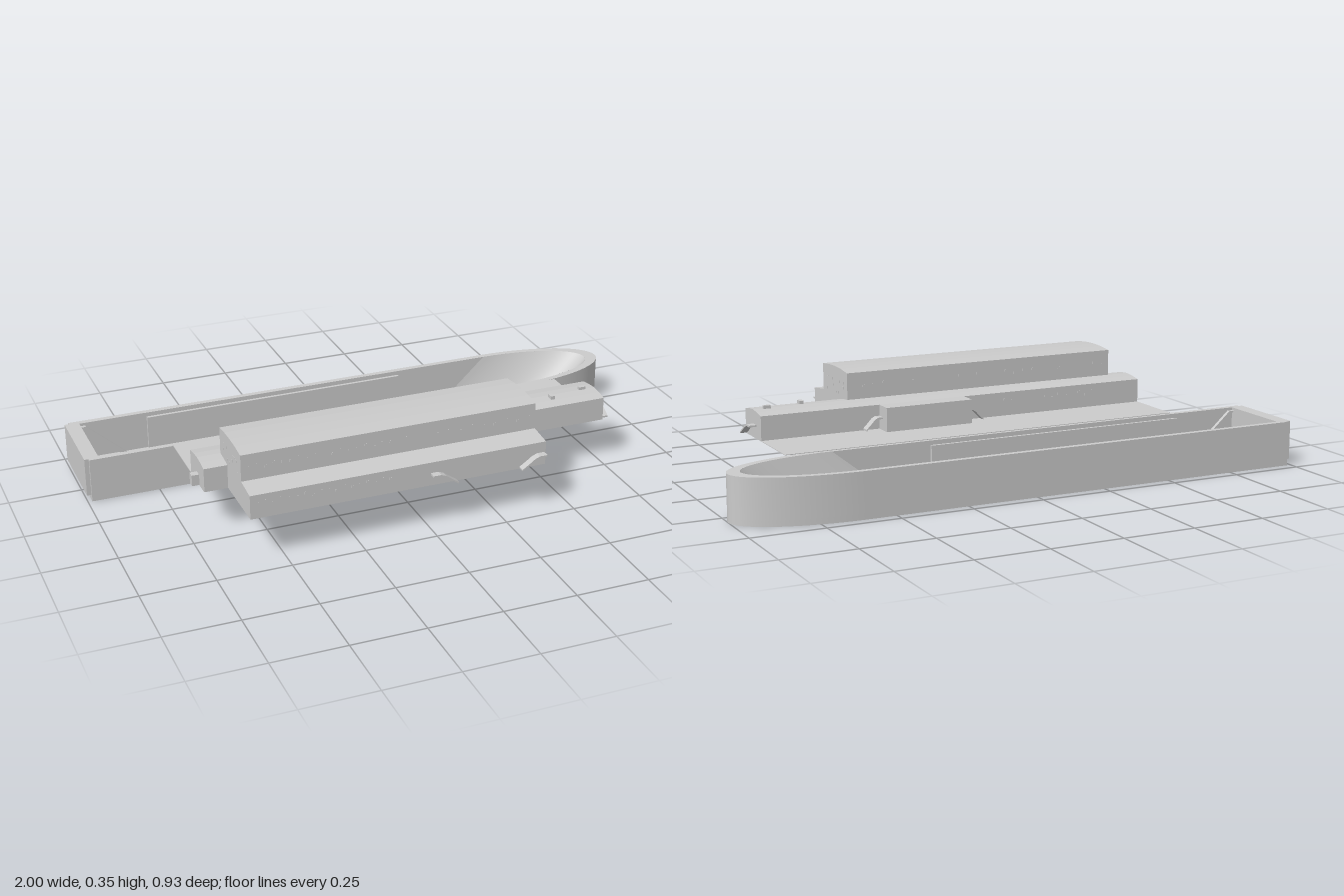
import * as THREE from 'three';
import { toCreasedNormals } from 'three/addons/utils/BufferGeometryUtils.js';

const grey = new THREE.MeshStandardMaterial({ color: 0xcccccc, side: THREE.DoubleSide });
const HULL_Z = -0.31, RIM = 0.155, FLOOR = 0.02, BASE = 0.157;

function add(parent, name, geometry) {
  const mesh = new THREE.Mesh(geometry, grey);
  mesh.name = name;
  parent.add(mesh);
  return mesh;
}

// box given by its two extreme corners
function box(parent, name, x0, x1, y0, y1, z0, z1) {
  const mesh = add(parent, name, new THREE.BoxGeometry(x1 - x0, y1 - y0, z1 - z0));
  mesh.position.set((x0 + x1) / 2, (y0 + y1) / 2, (z0 + z1) / 2);
  return mesh;
}

// [z, y] profile swept along x
function sweepX(parent, name, profile, x0, x1) {
  const shape = new THREE.Shape(profile.map(([z, y]) => new THREE.Vector2(-z, y)));
  const g = new THREE.ExtrudeGeometry(shape, { depth: x1 - x0, bevelEnabled: false });
  g.rotateY(Math.PI / 2).translate(x0, 0, 0);
  return add(parent, name, g);
}

// plan outline: square stern, half-elliptical bow
function plan(Type, stern, start, tip, half) {
  const s = new Type();
  s.moveTo(stern, -half);
  s.lineTo(start, -half);
  s.absellipse(start, 0, tip - start, half, -Math.PI / 2, Math.PI / 2, false, 0);
  s.lineTo(stern, half);
  s.closePath();
  return s;
}

function rectHole(x0, x1, half) {
  return new THREE.Path([[x0, -half], [x0, half], [x1, half], [x1, -half]]
    .map(([x, y]) => new THREE.Vector2(x, y)));
}

function slab(parent, name, shape, y0, y1) {
  let g = new THREE.ExtrudeGeometry(shape, { depth: y1 - y0, bevelEnabled: false, curveSegments: 40 });
  g.rotateX(-Math.PI / 2).translate(0, y0, HULL_Z);
  return add(parent, name, toCreasedNormals(g, 0.5));
}

// sloping inner bow surface between the rim ellipse and the floor ellipse
function bowLining() {
  const n = 40, pos = [], index = [];
  for (let i = 0; i <= n; i++) {
    const a = -Math.PI / 2 + Math.PI * i / n, c = Math.cos(a), s = Math.sin(a);
    pos.push(0.6 + 0.355 * c, RIM, HULL_Z + 0.135 * s);
    pos.push(0.43 + 0.39 * c, FLOOR, HULL_Z + 0.11 * s);
    if (i < n) {
      const k = i * 2;
      index.push(k, k + 1, k + 2, k + 1, k + 3, k + 2);
    }
  }
  const g = new THREE.BufferGeometry();
  g.setAttribute('position', new THREE.Float32BufferAttribute(pos, 3));
  g.setIndex(index);
  g.computeVertexNormals();
  return g;
}

function buildHull(root) {
  const hull = new THREE.Group();
  hull.name = 'hull';
  root.add(hull);

  const wall = plan(THREE.Shape, -0.985, 0.6, 1, 0.155);
  wall.holes.push(plan(THREE.Path, -0.95, 0.6, 0.955, 0.135));
  slab(hull, 'hullWall', wall, FLOOR, RIM);

  const floor = plan(THREE.Shape, -0.985, 0.6, 1, 0.155);
  floor.holes.push(rectHole(-0.945, -0.71, 0.075), rectHole(0.175, 0.255, 0.038));
  slab(hull, 'hullFloor', floor, 0, FLOOR);

  add(hull, 'bowLining', bowLining());
  box(hull, 'transom', -1, -0.984, 0.02, RIM, HULL_Z - 0.145, HULL_Z + 0.145);

  for (const side of [-1, 1]) {
    // raised panel and stern stair on each inner wall
    const z = HULL_Z + side * 0.13;
    box(hull, 'innerPanel', -0.71, 0.25, FLOOR, 0.14, z - 0.006, z + 0.006);
    const stair = new THREE.Shape([[-0.95, 0.145], [-0.93, 0.145], [-0.79, 0.02], [-0.81, 0.02]]
      .map(([x, y]) => new THREE.Vector2(x, y)));
    const g = new THREE.ExtrudeGeometry(stair, { depth: 0.016, bevelEnabled: false });
    add(hull, 'sternStair', g).position.z = z - 0.008;
  }

  // square studs on the floor
  const stud = (x, dz) => box(hull, 'floorStud', x - 0.007, x + 0.007, FLOOR, FLOOR + 0.002,
    HULL_Z + dz - 0.007, HULL_Z + dz + 0.007);
  for (let i = 0; i < 35; i++) {
    const x = -0.59 + i * 0.0315;
    if (x < 0.165 || x > 0.265) stud(x, 0);
  }
  for (let i = 0; i < 7; i++) for (const dz of [-0.057, 0.054]) stud(-0.31 + i * 0.0625, dz);
}

// curved slide: starts level at the top, runs down along local +x
function slide(parent, x, z, length, width, angle, flip) {
  const path = [[0, 0.196], [0.3, 0.196], [0.5, 0.189], [0.7, 0.176], [1, 0.158]];
  const pts = [...path, ...path.slice().reverse().map(([u, y]) => [u, y + 0.006])]
    .map(([u, y]) => new THREE.Vector2(flip * u * length, y));
  const g = new THREE.ExtrudeGeometry(new THREE.Shape(pts), { depth: width, bevelEnabled: false });
  const mesh = add(parent, 'slide', g);
  mesh.position.set(x, 0, z);
  mesh.rotation.y = angle;
}

function buildDecks(root) {
  const decks = new THREE.Group();
  decks.name = 'superstructure';
  root.add(decks);

  box(decks, 'deckPlate', -0.695, 0.755, RIM, BASE, -0.16, 0.205);

  // long low deckhouse with a gently cambered roof
  sweepX(decks, 'lowerDeckhouse', [[0.21, BASE], [0.21, 0.24], [0.175, 0.247], [0.137, 0.25],
    [0.1, 0.247], [0.06, 0.24], [0.06, BASE]], -0.695, 0.755);
  box(decks, 'rearBay', 0.01, 0.33, BASE, 0.24, -0.002, 0.062);
  box(decks, 'endBox', -0.72, -0.69, BASE, 0.195, 0.13, 0.155);
  box(decks, 'roofBox', 0.57, 0.585, 0.24, 0.26, 0.147, 0.17);
  box(decks, 'roofBox', 0.695, 0.72, 0.24, 0.26, 0.127, 0.14);

  // tall deckhouse with a lower front gallery
  sweepX(decks, 'upperDeckhouse', [[0.44, BASE], [0.44, 0.24], [0.355, 0.25], [0.355, 0.342],
    [0.3, 0.348], [0.245, 0.35], [0.19, 0.348], [0.137, 0.342], [0.137, BASE]], -0.615, 0.415);

  // slides along the front, beside the rear bay and at the end
  slide(decks, 0, 0.44, 0.09, 0.025, 0, 1);
  slide(decks, 0.41, 0.44, 0.09, 0.025, 0, -1);
  slide(decks, 0.01, 0.03, 0.06, 0.03, 0, -1);
  slide(decks, 0.33, 0.03, 0.06, 0.03, 0, 1);
  slide(decks, 0.755, 0.105, 0.095, 0.025, Math.PI / 2, -1);

  // small square windows, slightly scattered along each row
  const row = (x0, x1, y, z, count) => {
    for (let i = 0; i < count; i++) {
      const x = x0 + (x1 - x0) * i / (count - 1), dy = 0.006 * Math.sin(i * 2.4);
      box(decks, 'window', x - 0.004, x + 0.004, y + dy - 0.004, y + dy + 0.004, z - 0.001, z + 0.001);
    }
  };
  row(-0.59, -0.05, 0.296, 0.355, 20);
  row(0.06, 0.39, 0.296, 0.355, 9);
  row(-0.59, -0.14, 0.21, 0.44, 18);
  row(-0.59, 0.39, 0.296, 0.137, 28);
  row(-0.53, -0.12, 0.21, 0.06, 16);
  for (const [z, y] of [[0.31, 0.302], [0.29, 0.302], [0.275, 0.302], [0.205, 0.302], [0.175, 0.302],
    [0.317, 0.263], [0.265, 0.282], [0.235, 0.263], [0.217, 0.263], [0.175, 0.285]]) {
    for (const x of [-0.615, 0.415]) {
      box(decks, 'endWindow', x - 0.001, x + 0.001, y - 0.004, y + 0.004, z - 0.004, z + 0.004);
    }
  }
}

export function createModel() {
  const root = new THREE.Group();
  root.name = 'ship';
  buildHull(root);
  buildDecks(root);
  return root;
}
